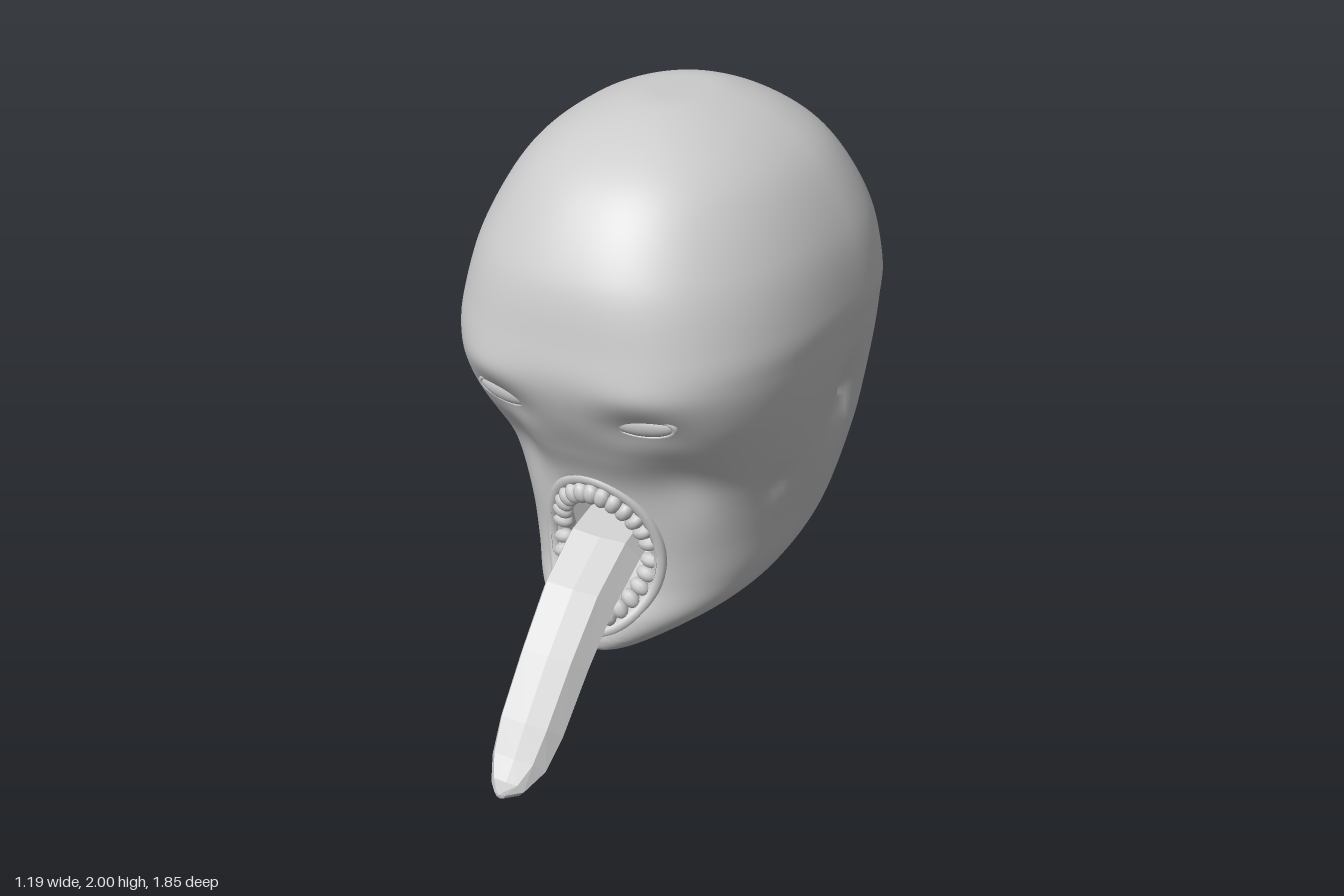
import * as THREE from 'three';
import { toCreasedNormals } from 'three/addons/utils/BufferGeometryUtils.js';

const grey = (opts = {}) => new THREE.MeshStandardMaterial({ color: 0xcccccc, ...opts });
const { sin, cos, abs, acos, sign, exp, max, min, hypot, PI } = Math;

// Head profile from crown to chin: y, half width, front z, back z
const PROFILE = [
  [2.0, 0, -0.2, -0.2], [1.99, 0.14, 0.0, -0.38], [1.92, 0.31, 0.2, -0.56],
  [1.8, 0.45, 0.365, -0.72], [1.6, 0.555, 0.495, -0.86], [1.4, 0.595, 0.54, -0.92],
  [1.28, 0.59, 0.55, -0.925], [1.15, 0.575, 0.51, -0.91], [1.0, 0.55, 0.425, -0.875],
  [0.85, 0.52, 0.35, -0.84], [0.65, 0.47, 0.32, -0.78], [0.5, 0.425, 0.33, -0.7],
  [0.39, 0.35, 0.38, -0.55], [0.31, 0.23, 0.4, -0.4], [0.27, 0.11, 0.36, 0.0],
  [0.26, 0, 0.2, 0.2],
];
const LAST = PROFILE.length - 1;
const BACK_POWER = 2.05;
const spline = new THREE.CubicInterpolant(PROFILE.map((_, i) => i), PROFILE.flat(), 4, new Float32Array(4));
function section(t) {
  const [y, w, zf, zb] = spline.evaluate(t);
  const cz = zb + (zf - zb) * 0.42;
  // The brow is squarer than the crown and jaw
  return { y, w, cz, front: zf - cz, back: cz - zb, power: 2.25 + 0.6 * bump(0, y - 1.2, 1, 0.35) };
}

const MOUTH = { y: 0.61, rx: 0.195, ry: 0.26 };
const neckZ = (y) => 0.1 - (y - 0.27) * 1.455; // slanted neck opening
const bump = (u, v, su, sv) => exp(-((u / su) ** 2) - (v / sv) ** 2);

// Brow, eye sockets and hollow cheeks
function relief(x, y) {
  const ax = abs(x);
  return 0.01 * bump(ax - 0.28, y - 1.27, 0.14, 0.05)
    - 0.03 * bump(ax - 0.24, y - 1.14, 0.12, 0.07)
    - 0.045 * bump(ax - 0.28, y - 0.93, 0.1, 0.16);
}

// Depth of the face at a given x and y
function faceZ(x, y) {
  let lo = 0, hi = LAST;
  for (let k = 0; k < 30; k++) {
    const mid = (lo + hi) / 2;
    if (section(mid).y > y) lo = mid; else hi = mid;
  }
  const s = section(lo);
  return s.cz + s.front * max(0, 1 - (abs(x) / s.w) ** s.power) ** (1 / s.power) + relief(x, y);
}

// Angle at which a section ends at the neck opening (PI where it is closed)
function cutAngle(s) {
  const dz = neckZ(s.y) - s.cz;
  if (s.y > 0.94 || s.w < 0.01) return PI;
  return dz < 0 ? acos(-(min(1, -dz / s.back) ** (BACK_POWER / 2))) : acos(min(1, dz / s.front) ** (s.power / 2));
}

// Open shell: stacked sections with a mouth hole, ending at the neck opening
function headGeometry(rows = 150, cols = 128) {
  const pos = [], index = [], skip = [];
  for (let i = 0; i <= rows; i++) {
    const s = section((i / rows) * LAST);
    const aCut = cutAngle(s);
    for (let j = 0; j <= cols; j++) {
      const nominal = ((j / cols) * 2 - 1) * PI;
      const a = sign(nominal) * min(abs(nominal), aCut);
      const front = cos(a) > 0;
      const p = 2 / (front ? s.power : BACK_POWER);
      let x = s.w * sign(a) * abs(sin(a)) ** p;
      let y = s.y;
      let z = s.cz + (front ? s.front * cos(a) ** p : -s.back * abs(cos(a)) ** p);
      if (front) z += relief(x, y) * min(1, cos(a) * 2);
      // Ear recess and small pit on the cheek
      if (abs(x) > 0.3) x -= sign(x) * (0.045 * bump(z + 0.31, y - 1.02, 0.06, 0.13) + 0.015 * bump(z, y - 0.83, 0.05, 0.06));
      // Mouth hole: drop the inside, pull the edge out to the outline
      const r = front ? hypot(x / MOUTH.rx, (y - MOUTH.y) / MOUTH.ry) : 2;
      skip.push(r < 0.85);
      if (r >= 0.85 && r < 1) {
        x /= r;
        y = MOUTH.y + (y - MOUTH.y) / r;
      }
      pos.push(x, y, z);
    }
  }
  for (let i = 0; i < rows; i++) {
    for (let j = 0; j < cols; j++) {
      const a = i * (cols + 1) + j, b = a + cols + 1, c = b + 1, d = a + 1;
      if ([a, b, c, d].some((v) => skip[v])) continue;
      index.push(a, b, c, a, c, d);
    }
  }
  return meshGeometry(pos, index);
}

function meshGeometry(pos, index) {
  const geo = new THREE.BufferGeometry();
  geo.setAttribute('position', new THREE.Float32BufferAttribute(pos, 3));
  geo.setIndex(index);
  geo.computeVertexNormals();
  return geo;
}

// Skin a list of equal-length rings of Vector3
function loft(rings) {
  const n = rings[0].length, index = [];
  for (let i = 0; i < rings.length - 1; i++) {
    for (let j = 0; j < n; j++) {
      const a = i * n + j, d = i * n + ((j + 1) % n);
      index.push(a, d, a + n, d, d + n, a + n);
    }
  }
  return meshGeometry(rings.flat().flatMap((p) => [p.x, p.y, p.z]), index);
}

// Point on the mouth outline, scaled by s and pushed back
function mouthPoint(a, s = 1, back = 0) {
  const x = MOUTH.rx * s * cos(a), y = MOUTH.y + MOUTH.ry * s * sin(a);
  return new THREE.Vector3(x, y, faceZ(x, y) - back);
}
const around = (n, f) => Array.from({ length: n }, (_, i) => f((i / n) * PI * 2, i));

export function createModel() {
  const model = new THREE.Group();
  const add = (name, geo, mat = grey(), parent = model) => {
    const m = new THREE.Mesh(geo, mat);
    m.name = name;
    parent.add(m);
    return m;
  };

  add('head', toCreasedNormals(headGeometry(), 0.8), grey({ side: THREE.DoubleSide }));

  // Lips and gums follow the mouth outline
  const rim = (s, back, r) => new THREE.TubeGeometry(
    new THREE.CatmullRomCurve3(around(28, (a) => mouthPoint(a, s, back)), true), 72, r, 8, true);
  add('lips', rim(1.02, 0.012, 0.022));
  add('gums', rim(0.95, 0.04, 0.03));

  // Mouth cavity narrowing to a ragged open throat
  const cavity = [around(14, (a) => mouthPoint(a, 1, 0.02))];
  for (const [z, y, rx, ry, rag] of [[0.1, 0.6, 0.23, 0.22, 0], [-0.1, 0.65, 0.2, 0.17, 0.01], [-0.25, 0.69, 0.17, 0.13, 0.035]]) {
    cavity.push(around(14, (a, i) => new THREE.Vector3(rx * cos(a), y + ry * sin(a), z + rag * cos(i * 2.4))));
  }
  add('mouthCavity', loft(cavity), grey({ side: THREE.DoubleSide, flatShading: true }));

  // Teeth in an upper and a lower arch
  const toothGeo = new THREE.SphereGeometry(1, 10, 8);
  const arch = (name, from, to, count) => {
    const group = new THREE.Group();
    group.name = name;
    for (let i = 0; i < count; i++) {
      const a = from + ((to - from) * i) / (count - 1);
      const tooth = add('tooth', toothGeo, grey(), group);
      const front = abs(sin(a));
      tooth.position.copy(mouthPoint(a, 0.83, 0.035 - 0.045 * front));
      tooth.rotation.z = a - PI / 2;
      tooth.scale.set(0.024 + 0.004 * front, 0.036, 0.028);
    }
    model.add(group);
  };
  arch('upperTeeth', 0.2, PI - 0.2, 13);
  arch('lowerTeeth', -0.1, -PI + 0.1, 15);

  // Long faceted tongue: z, y, half width, half thickness
  const path = [
    [-0.02, 0.62, 0.1, 0.06], [0.12, 0.64, 0.13, 0.08], [0.28, 0.59, 0.135, 0.085],
    [0.43, 0.49, 0.13, 0.085], [0.58, 0.335, 0.122, 0.08], [0.72, 0.17, 0.115, 0.075],
    [0.8, 0.08, 0.098, 0.06], [0.87, 0.033, 0.06, 0.035], [0.915, 0.035, 0.02, 0.015],
  ];
  const outline = [[1, 0.1], [0.72, 0.85], [0, 0.75], [-0.72, 0.85], [-1, 0.1], [-0.6, -0.75], [0, -1], [0.6, -0.75]];
  const tongue = path.map(([z, y, w, h], i) => {
    const p = path[max(0, i - 1)], q = path[min(path.length - 1, i + 1)];
    const len = hypot(q[0] - p[0], q[1] - p[1]);
    const ny = (q[0] - p[0]) / len, nz = -(q[1] - p[1]) / len;
    return outline.map(([u, v]) => new THREE.Vector3(u * w, max(0, y + v * h * ny), z + v * h * nz));
  });
  const centre = (z, y) => outline.map(() => new THREE.Vector3(0, y, z));
  add('tongue', loft([centre(-0.02, 0.62), ...tongue, centre(0.92, 0.035)]), grey({ flatShading: true, side: THREE.DoubleSide }));

  // Lump below the throat, showing under the jaw
  const lump = add('throatLump', new THREE.SphereGeometry(0.06, 14, 10));
  lump.position.set(0, 0.41, -0.1);

  // Eyes and lids
  for (const side of [1, -1]) {
    const eye = new THREE.Group();
    eye.name = side > 0 ? 'leftEye' : 'rightEye';
    eye.position.set(side * 0.25, 1.165, faceZ(0.25, 1.165) - 0.005);
    eye.rotation.set(0.35, side * 0.2, 0);
    add('eyeball', new THREE.SphereGeometry(1, 20, 14), grey(), eye).scale.set(0.094, 0.036, 0.022);
    add('eyelids', new THREE.TorusGeometry(0.095, 0.01, 8, 28), grey(), eye).scale.set(1, 0.42, 1);
    model.add(eye);
  }
  return model;
}
